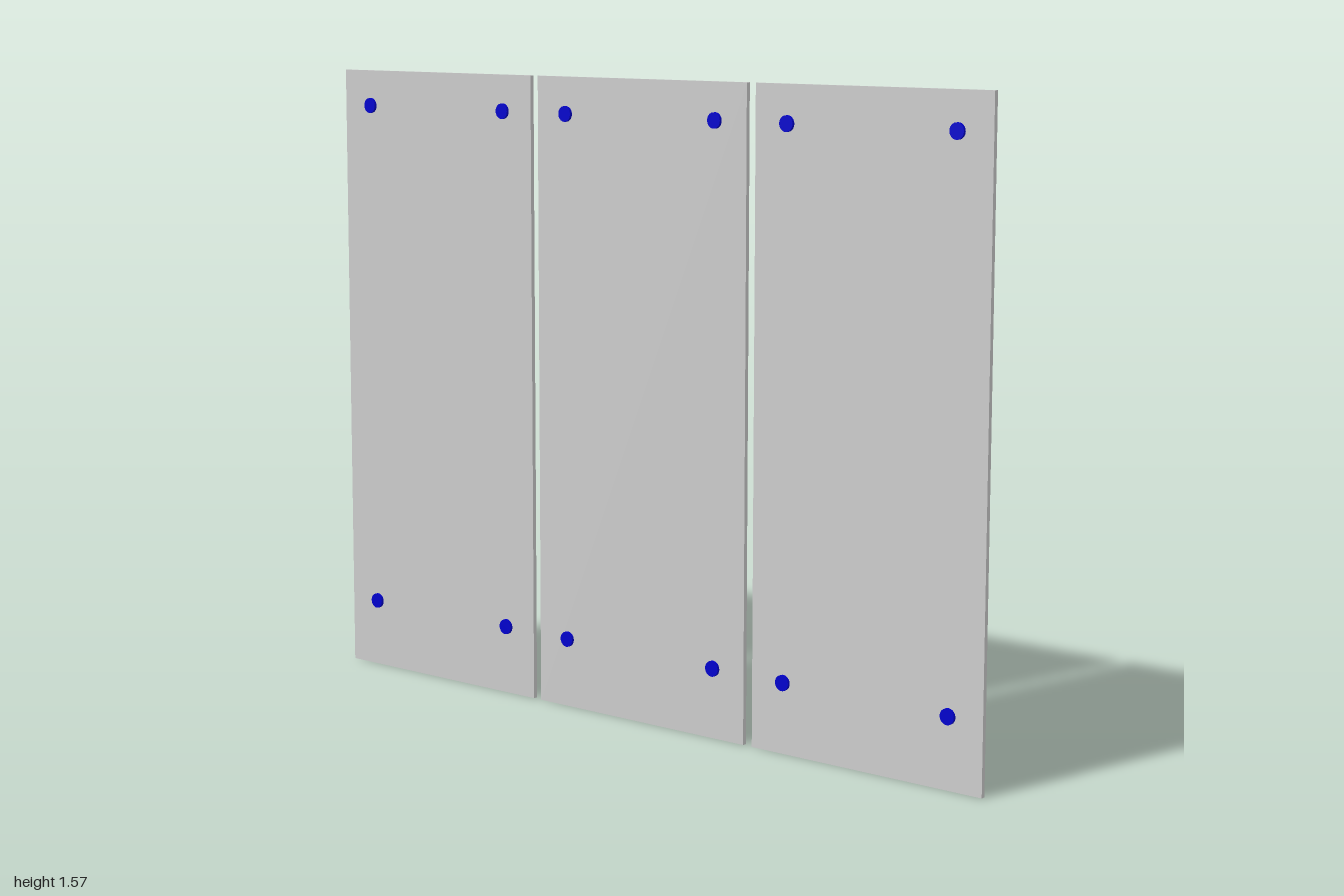
import * as THREE from 'three';

const PANEL = { width: 0.65, height: 1.567, depth: 0.011 };
const PANEL_CENTERS = [-0.675, -0.001, 0.675];
const PIN = { radius: 0.019, length: 0.025, offsetX: 0.2325, heights: [0.172, 1.477] };

export function createModel() {
  const model = new THREE.Group();
  model.name = 'panelWall';

  const panelMaterial = new THREE.MeshStandardMaterial({ color: 0xcccccc });
  const pinMaterial = new THREE.MeshStandardMaterial({ color: 0x0000cc });

  const panelGeometry = new THREE.BoxGeometry(PANEL.width, PANEL.height, PANEL.depth);
  panelGeometry.translate(0, PANEL.height / 2, 0);

  // Pins run through the panel and stand slightly proud on both sides
  const pinGeometry = new THREE.CylinderGeometry(PIN.radius, PIN.radius, PIN.length, 32);
  pinGeometry.rotateX(Math.PI / 2);

  for (const x of PANEL_CENTERS) {
    const section = new THREE.Group();
    section.name = 'panelSection';
    section.position.x = x;

    const panel = new THREE.Mesh(panelGeometry, panelMaterial);
    panel.name = 'panel';
    section.add(panel);

    // One fixing pin near each corner
    for (const side of [-1, 1]) {
      for (const y of PIN.heights) {
        const pin = new THREE.Mesh(pinGeometry, pinMaterial);
        pin.name = 'fixingPin';
        pin.position.set(side * PIN.offsetX, y, 0);
        section.add(pin);
      }
    }
    model.add(section);
  }
  return model;
}
